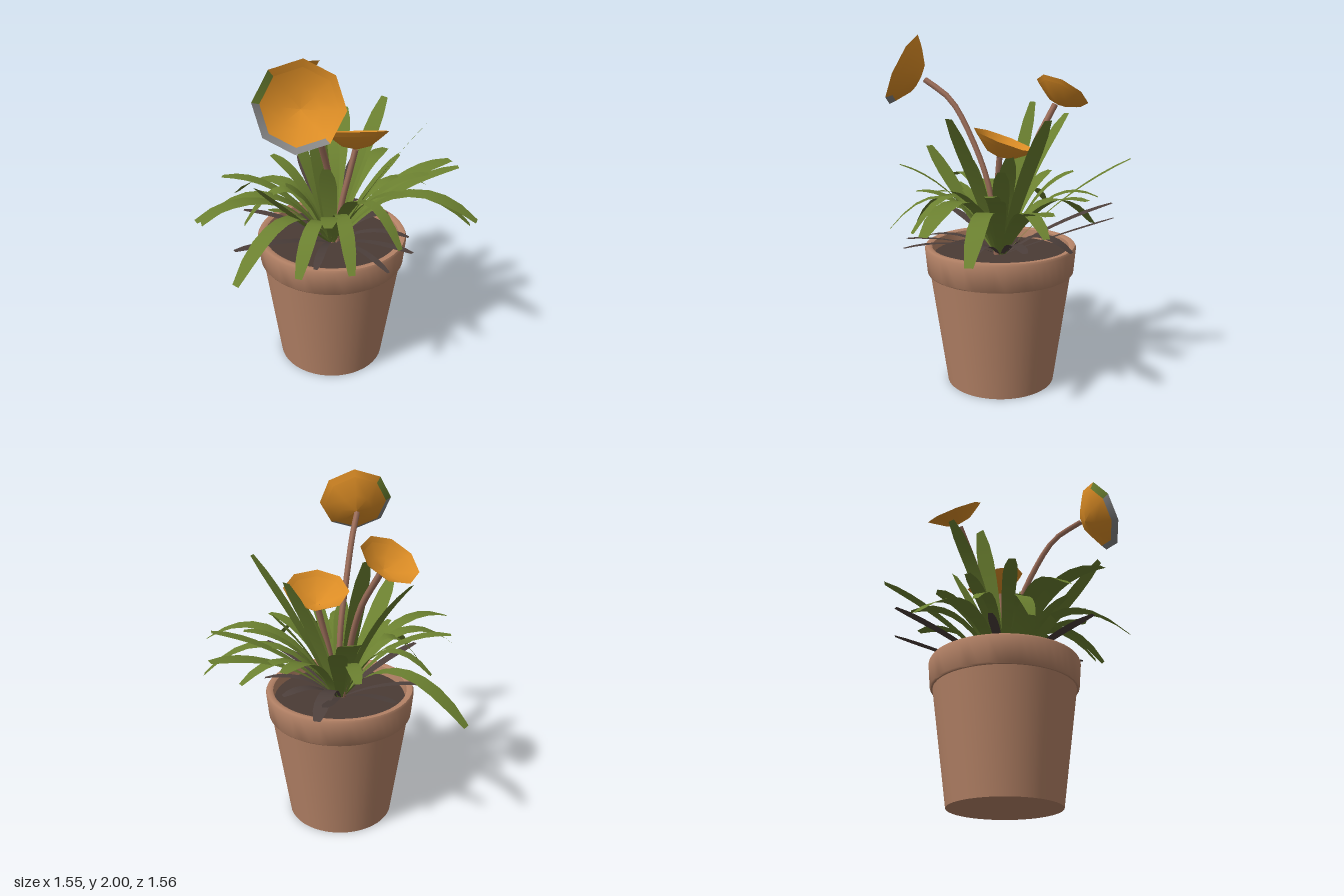
import * as THREE from 'three';
import { toCreasedNormals } from 'three/addons/utils/BufferGeometryUtils.js';

const V = (x, y, z) => new THREE.Vector3(x, y, z);
const material = (name, color, side = THREE.DoubleSide) => {
  const m = new THREE.MeshStandardMaterial({ color, side });
  m.name = name;
  return m;
};
const CX = 0.035, CZ = -0.03; // pot axis

// Flat blade along a bent curve: narrow foot, wide middle, blunt tip
function bladeGeometry(base, ctrl, tip, width, steps = 9) {
  const curve = new THREE.QuadraticBezierCurve3(base, ctrl, tip);
  const side = V(tip.z - base.z, 0, base.x - tip.x).normalize();
  const pos = [], index = [];
  for (let i = 0; i <= steps; i++) {
    const t = i / steps;
    const profile = t < 0.78 ? 0.35 + 0.65 * Math.sin((t / 0.78) * Math.PI / 2) : 1 - 0.55 * ((t - 0.78) / 0.22) ** 2;
    const p = curve.getPoint(t);
    for (const s of [-0.5, 0.5]) pos.push(...p.clone().addScaledVector(side, s * width * profile).toArray());
    if (i < steps) {
      const a = i * 2;
      index.push(a, a + 1, a + 2, a + 1, a + 3, a + 2);
    }
  }
  const g = new THREE.BufferGeometry();
  g.setAttribute('position', new THREE.Float32BufferAttribute(pos, 3));
  g.setIndex(index);
  g.computeVertexNormals();
  return g;
}

export function createModel() {
  const model = new THREE.Group();
  const clay = material('terracotta', 0xb48266);
  const soilMat = material('soil', 0x4a3b35);
  const green = material('leafGreen', 0x6b8030);
  const dead = material('witheredBrown', 0x4c3f3b);
  const stemMat = material('stemBrown', 0x9c6e5a);
  const orange = material('petalOrange', 0xdb8c25);
  const grey = material('petalGrey', 0x858585);
  const add = (name, geo, mat, parent = model) => {
    const mesh = new THREE.Mesh(geo, mat);
    mesh.name = name;
    parent.add(mesh);
    return mesh;
  };

  // Pot with an overhanging rim
  const outline = [[0, 0], [0.315, 0], [0.408, 0.66], [0.418, 0.66], [0.424, 0.668], [0.437, 0.81],
    [0.43, 0.824], [0.41, 0.826], [0.395, 0.818], [0.385, 0.75]].map(p => new THREE.Vector2(...p));
  add('pot', toCreasedNormals(new THREE.LatheGeometry(outline, 48), 0.7), clay).position.set(CX, 0, CZ);
  const soil = add('soil', new THREE.CircleGeometry(0.39, 48), soilMat);
  soil.rotation.x = -Math.PI / 2;
  soil.position.set(CX, 0.765, CZ);

  // Blades: tip x, y, z, height of the bend, width
  const blades = (name, mat, list, reach) => {
    const group = new THREE.Group();
    group.name = name;
    model.add(group);
    for (const [x, y, z, bend, width] of list) {
      const dir = V(x - CX, 0, z - CZ);
      const base = V(CX, 0.765, CZ).addScaledVector(dir.clone().normalize(), 0.03);
      const ctrl = V(CX, bend, CZ).addScaledVector(dir, reach);
      add(name + 'Blade', bladeGeometry(base, ctrl, V(x, y, z), width), mat, group);
    }
  };
  blades('backLeaves', green, [
    [0.25, 1.15, -0.78, 1.15, 0.12],
    [0.17, 1.0, -0.65, 1.25, 0.08],
    [0.45, 1.22, -0.62, 1.15, 0.09],
    [0.59, 0.91, -0.6, 1.35, 0.1],
    [0.75, 1.05, -0.45, 1.38, 0.11],
    [-0.47, 1.34, -0.55, 1.15, 0.1],
    [-0.13, 1.15, -0.6, 1.2, 0.1],
    [-0.3, 1.25, -0.27, 1.2, 0.13],
    [-0.42, 1.1, -0.35, 1.25, 0.08],
    [0.24, 1.3, -0.35, 1.1, 0.09],
    [0.38, 1.2, -0.45, 1.2, 0.08],
  ], 0.48);
  blades('sideLeaves', green, [
    [0.5, 1.2, -0.16, 1.2, 0.08],
    [0.6, 0.96, -0.03, 1.4, 0.07],
    [0.55, 1.3, 0.2, 1.2, 0.08],
    [0.58, 0.92, 0.29, 1.35, 0.08],
    [0.4, 1.12, 0.3, 1.15, 0.09],
    [-0.42, 1.15, 0.42, 1.2, 0.08],
    [-0.46, 0.98, 0.2, 1.3, 0.07],
    [-0.78, 0.81, 0.11, 1.26, 0.11],
    [-0.4, 1.2, 0.08, 1.15, 0.08],
  ], 0.45);
  blades('frontLeaves', green, [
    [0.3, 0.81, 0.42, 1.25, 0.09],
    [0.17, 0.83, 0.73, 1.32, 0.1],
    [0.17, 1.34, 0.57, 1.0, 0.11],
    [0.05, 1.12, 0.42, 1.05, 0.07],
    [-0.12, 1.1, 0.77, 1.3, 0.1],
    [-0.27, 0.98, 0.66, 1.35, 0.11],
    [-0.24, 0.9, 0.4, 1.4, 0.09],
  ], 0.45);
  blades('uprightLeaves', green, [
    [-0.18, 1.63, -0.04, 1.15, 0.13],
    [-0.46, 1.55, 0.0, 1.25, 0.09],
    [0.5, 1.58, -0.27, 1.15, 0.09],
    [0.01, 1.56, -0.44, 1.15, 0.11],
    [0.14, 1.3, 0.1, 1.05, 0.1],
    [0.1, 1.35, -0.22, 1.1, 0.1],
    [-0.1, 1.15, 0.2, 1.05, 0.1],
  ], 0.38);
  blades('witheredLeaves', dead, [
    [-0.6, 1.03, -0.27, 0.95, 0.06],
    [-0.37, 1.02, -0.54, 0.9, 0.06],
    [-0.18, 0.82, -0.42, 1.0, 0.09],
    [0.65, 0.95, -0.07, 0.92, 0.05],
    [0.61, 0.86, 0.06, 0.9, 0.04],
    [0.0, 0.92, 0.62, 0.9, 0.06],
    [-0.43, 0.88, 0.28, 0.9, 0.05],
    [0.32, 0.84, 0.32, 0.9, 0.05],
    [0.12, 0.86, -0.4, 0.92, 0.07],
    [0.4, 0.85, -0.3, 0.92, 0.05],
  ], 0.5);

  // Flowers: shallow eight-sided cups on curved stems
  function flower(name, path, centre, normal, radius, depth, odd) {
    const group = new THREE.Group();
    group.name = name;
    model.add(group);
    const curve = new THREE.CatmullRomCurve3(path.map(p => V(...p)));
    add('stem', new THREE.TubeGeometry(curve, 14, 0.018, 6), stemMat, group);
    const head = new THREE.Group();
    head.name = 'flowerHead';
    head.position.set(...centre);
    head.quaternion.setFromUnitVectors(V(0, 1, 0), V(...normal).normalize());
    group.add(head);
    const ring = (pts, ...arc) => new THREE.LatheGeometry(
      pts.map(([r, h]) => new THREE.Vector2(r * radius, (h - 1) * depth)), ...arc);
    add('cup', ring([[0, 0], [0.45, 0.18], [0.87, 0.75]], 8), orange, head);
    for (let i = 0; i < 8; i++) {
      const step = Math.PI / 4;
      add('petalEdge', ring([[0.87, 0.75], [1.03, 1]], 1, i * step, step), odd[i] || orange, head);
    }
  }
  flower('tallFlower',
    [[0.05, 0.76, -0.02], [0.08, 1.15, 0.02], [0.13, 1.42, 0.12], [0.2, 1.64, 0.24], [0.29, 1.75, 0.375]],
    [0.385, 1.805, 0.46], [0.68, 0.43, 0.59], 0.213, 0.11, { 0: grey, 1: grey, 7: grey, 6: green });
  flower('leftFlower',
    [[0.01, 0.76, -0.03], [-0.06, 1.08, -0.05], [-0.17, 1.38, -0.07], [-0.315, 1.61, -0.073]],
    [-0.37, 1.685, -0.07], [-0.58, 0.82, 0.02], 0.163, 0.075, {});
  flower('lowFlower',
    [[0.07, 0.76, -0.04], [0.08, 1.0, -0.06], [0.1, 1.2, -0.1], [0.11, 1.345, -0.135]],
    [0.09, 1.44, -0.155], [-0.28, 0.93, -0.2], 0.178, 0.1, {});

  return model;
}
